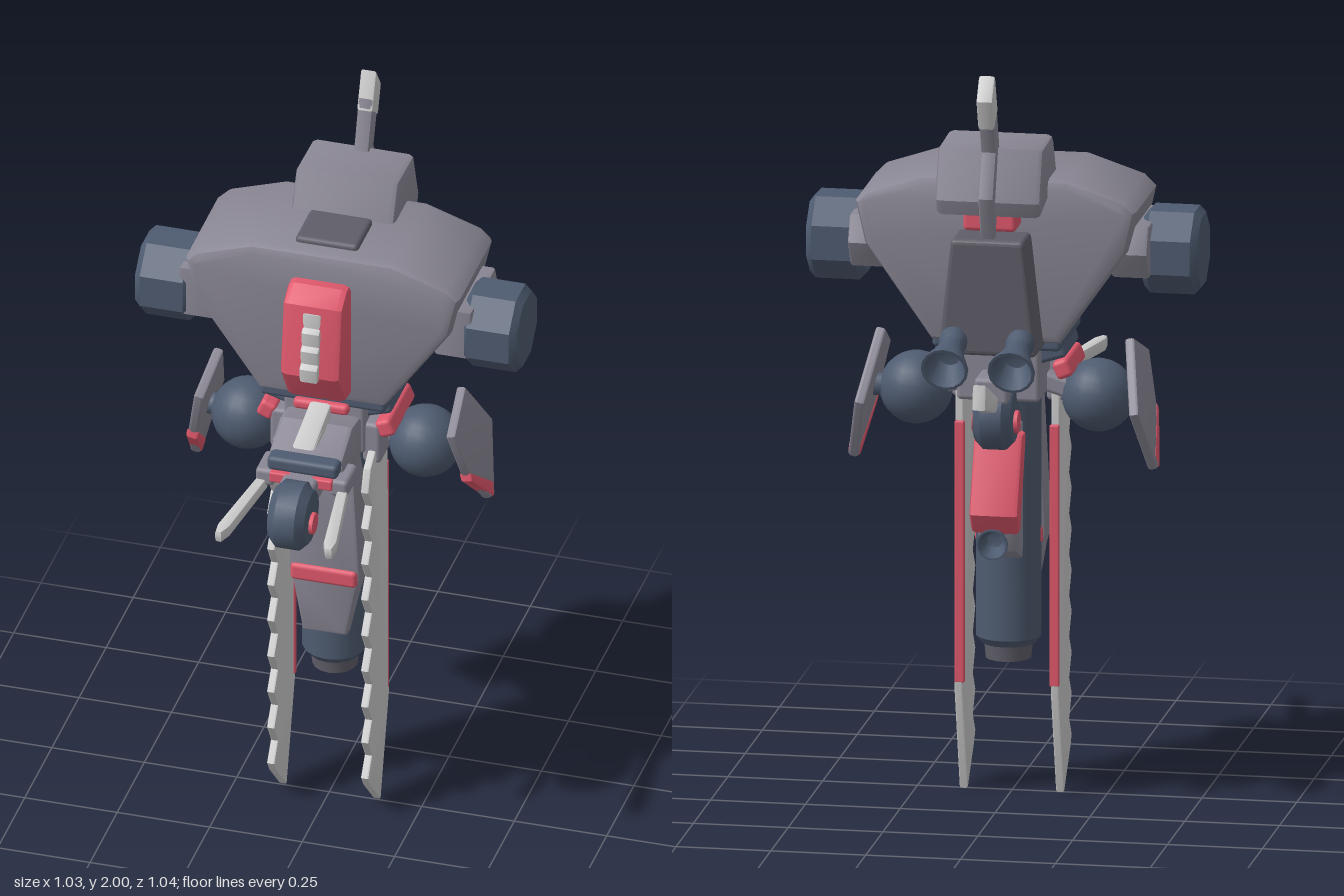
import * as THREE from 'three';
import { RoundedBoxGeometry } from 'three/addons/geometries/RoundedBoxGeometry.js';
import { toCreasedNormals } from 'three/addons/utils/BufferGeometryUtils.js';

const mat = (color) => new THREE.MeshStandardMaterial({ color });
const GREY = mat(0x8a8794), DARK = mat(0x5f5e69), BLUE = mat(0x4e5b70), RED = mat(0xdf586c), PALE = mat(0xd9d9d9);

export function createModel() {
  const root = new THREE.Group();

  const add = (name, geo, material, x = 0, y = 0, z = 0, rx = 0, ry = 0, rz = 0) => {
    const mesh = new THREE.Mesh(geo, material);
    mesh.name = name;
    mesh.position.set(x, y, z);
    mesh.rotation.set(rx, ry, rz);
    root.add(mesh);
    return mesh;
  };

  // Bevelled slab whose outline stays true to the given points, centred on its depth
  const slab = (pts, depth, bevel) => {
    const shape = new THREE.Shape(pts.map(([a, b]) => new THREE.Vector2(a, b)));
    const g = new THREE.ExtrudeGeometry(shape, {
      depth: depth - 2 * bevel, bevelEnabled: true, bevelSize: bevel, bevelThickness: bevel,
      bevelOffset: -bevel, bevelSegments: 2,
    });
    g.translate(0, 0, -(depth - 2 * bevel) / 2);
    return toCreasedNormals(g, 0.6);
  };
  // Outline given as [z, y], thickness along x
  const side = (pts, width, bevel = 0.008) => slab(pts, width, bevel).rotateY(-Math.PI / 2);
  const box = (w, h, d, r = 0.012) => new RoundedBoxGeometry(w, h, d, 2, r);
  const lathe = (pts, n) => toCreasedNormals(
    new THREE.LatheGeometry(pts.map(([r, h]) => new THREE.Vector2(r, h)), n), 0.6);
  // Flared nozzle running along +y, with a hollow mouth
  const nozzle = (r, h) => lathe([[0, 0], [r * 0.6, 0], [r * 0.6, h * 0.2], [r * 0.52, h * 0.3], [r * 0.66, h * 0.6],
    [r, h * 0.95], [r, h], [r * 0.88, h], [r * 0.5, h * 0.55], [0, h * 0.5]], 16);

  // Upper hull
  add('hull', slab([[-0.19, 1.7], [-0.34, 1.65], [-0.37, 1.62], [-0.345, 1.51], [-0.17, 1.26], [0.17, 1.26],
    [0.345, 1.51], [0.37, 1.62], [0.34, 1.65], [0.19, 1.7]], 0.34, 0.025), GREY, 0, 0, -0.09);
  add('roofHatch', box(0.17, 0.03, 0.145), DARK, 0, 1.7, -0.043);
  add('hullBase', box(0.34, 0.06, 0.3), BLUE, 0, 1.265, -0.085);

  // Chest panel with its toothed strip
  add('chestPanel', side([[0.06, 1.625], [0.105, 1.625], [0.155, 1.59], [0.183, 1.39], [0.12, 1.29], [0.06, 1.28]],
    0.165, 0.018), RED);
  add('chestStrip', side([[0.13, 1.57], [0.162, 1.57], [0.164, 1.53], [0.178, 1.52], [0.174, 1.48], [0.188, 1.47],
    [0.182, 1.43], [0.197, 1.42], [0.192, 1.38], [0.15, 1.38]], 0.05, 0.006), PALE);

  // Head block and mast
  add('headBlock', side([[-0.115, 1.69], [-0.165, 1.8], [-0.315, 1.795], [-0.36, 1.66], [-0.345, 1.62], [-0.25, 1.64]],
    0.28, 0.016), GREY);
  add('neckBlock', box(0.14, 0.07, 0.1), RED, 0, 1.61, -0.285);
  add('mast', side([[-0.25, 1.68], [-0.3, 1.82], [-0.335, 1.93], [-0.37, 1.92], [-0.385, 1.9], [-0.345, 1.79],
    [-0.39, 1.675], [-0.35, 1.56], [-0.33, 1.62]], 0.04, 0.006), GREY);
  add('mastTip', side([[-0.325, 1.9], [-0.365, 2], [-0.408, 1.94], [-0.378, 1.86]], 0.043, 0.006), PALE);

  // Back unit with two nozzles
  const pack = box(0.26, 0.31, 0.15, 0.014);
  const pp = pack.attributes.position;
  for (let i = 0; i < pp.count; i++) pp.setX(i, pp.getX(i) * (0.87 - pp.getY(i) * 0.85));
  pack.computeVertexNormals();
  add('backUnit', pack, DARK, 0, 1.405, -0.295);
  for (const s of [-1, 1]) add('backNozzle', nozzle(0.062, 0.16), BLUE, s * 0.088, 1.295, -0.35, -1.9);

  for (const s of [-1, 1]) {
    // Side drums
    add('drumBracket', side([[0.04, 1.43], [0.04, 1.57], [-0.19, 1.57], [-0.22, 1.5], [-0.18, 1.43]], 0.1), GREY, s * 0.345);
    const drum = lathe([[0, -0.075], [0.1, -0.075], [0.118, -0.058], [0.118, 0.058], [0.1, 0.075], [0, 0.075]], 8);
    drum.rotateY(Math.PI / 8);
    add('sideDrum', drum, BLUE, s * 0.441, 1.483, -0.062, 0, 0, Math.PI / 2);

    // Hip links, ball joints and hanging plates
    add('hipLink', box(0.1, 0.055, 0.2), BLUE, s * 0.12, 1.22, -0.08, 0, 0, s * 0.3);
    add('hipBar', box(0.045, 0.05, 0.2), RED, s * 0.16, 1.17, -0.06, 0, 0, s * 0.4);
    add('hipArm', box(0.1, 0.05, 0.07), GREY, s * 0.14, 1.11, -0.07, 0, 0, -s * 0.3);
    add('ballJoint', new THREE.SphereGeometry(0.096, 20, 14), BLUE, s * 0.24, 1.085, -0.07);
    add('plateArm', new THREE.CylinderGeometry(0.03, 0.03, 0.1, 8), BLUE, s * 0.315, 1.09, -0.08, 0, 0, Math.PI / 2);
    const plate = new THREE.Group();
    plate.name = 'sidePlate';
    const body = new THREE.Mesh(side([[-0.1, 0.175], [-0.23, 0], [-0.135, -0.17], [-0.105, -0.165], [0.0, -0.035],
      [0.045, 0.11]], 0.028), GREY);
    const edge = new THREE.Mesh(side([[0.0, -0.025], [0.003, -0.05], [-0.12, -0.17], [-0.14, -0.135]], 0.034), RED);
    body.name = 'plateBody';
    edge.name = 'plateEdge';
    plate.add(body, edge);
    plate.position.set(s * 0.362, 1.075, 0);
    plate.rotation.z = s * 0.2;
    root.add(plate);

    // Long saw-toothed blades
    const teeth = [];
    for (let i = 0; i < 8; i++) teeth.push([0.072, 0.95 - i * 0.11], [0.108, 0.9 - i * 0.11]);
    add('sawBlade', side([[-0.07, 1.12], [0.04, 1.1], [0.085, 1.07], [0.108, 1.01], ...teeth, [0.09, 0.1],
      [-0.005, 0], [-0.083, 0.28]], 0.022, 0.005), PALE, s * 0.127);
    add('bladeSpine', box(0.026, 0.7, 0.016, 0.004), RED, s * 0.125, 0.65, -0.075);
    add('bladeMount', box(0.05, 0.12, 0.1), GREY, s * 0.125, 1.12, -0.01);

    // Forward pincers
    add('pincer', slab([[-0.014, -0.14], [0.014, -0.14], [0.017, 0.1], [0.008, 0.135], [-0.008, 0.135],
      [-0.017, 0.1]], 0.034, 0.006).rotateX(Math.PI / 2), PALE, s * 0.129, 1.083, 0.383, 0.04, s * 0.15);
    add('pincerMount', box(0.05, 0.05, 0.1), GREY, s * 0.1, 1.11, 0.21);
    add('pincerPin', box(0.06, 0.03, 0.02, 0.005), RED, s * 0.055, 1.12, 0.257);
  }

  // Waist and forward arm
  add('waist', box(0.22, 0.16, 0.26), GREY, 0, 1.17, -0.08);
  add('frontBlock', side([[0.03, 1.2], [0.12, 1.215], [0.215, 1.17], [0.22, 1.1], [0.03, 1.09]], 0.2, 0.012), GREY);
  add('frontCap', box(0.19, 0.04, 0.115), BLUE, 0, 1.152, 0.197);
  add('frontArm', box(0.095, 0.07, 0.17), GREY, 0, 1.1, 0.275);
  add('frontSpike', side([[0.08, 1.25], [0.16, 1.232], [0.245, 1.207], [0.2, 1.192], [0.08, 1.2]], 0.06, 0.01), PALE);
  add('lowerSpike', side([[0.07, 1.07], [0.07, 1.035], [0.28, 1.01], [0.325, 1.02]], 0.035, 0.006), PALE);
  add('waistTrim', box(0.15, 0.03, 0.03), RED, 0, 1.235, 0.07);

  // Front and rear wheels
  const wheel = lathe([[0, -0.05], [0.07, -0.05], [0.092, -0.028], [0.092, 0.028], [0.07, 0.05], [0, 0.05]], 16);
  for (const z of [0.335, -0.235]) {
    add('wheel', wheel, BLUE, 0, 1.062, z, 0, 0, Math.PI / 2);
    add('wheelAxle', new THREE.CylinderGeometry(0.03, 0.03, 0.12, 10), RED, 0, 1.045, z, 0, 0, Math.PI / 2);
  }
  add('rearArm', box(0.09, 0.07, 0.14), GREY, 0, 1.14, -0.24);
  add('tailSpike', side([[-0.23, 1.1], [-0.3, 1.125], [-0.475, 1.2], [-0.488, 1.135], [-0.33, 1.09]], 0.036, 0.006), PALE);

  // Central leg
  add('legBarrel', lathe([[0, 0.41], [0.07, 0.41], [0.086, 0.43], [0.086, 1.1], [0, 1.1]], 16), BLUE, 0, 0, -0.052);
  add('legTip', lathe([[0, 0.37], [0.06, 0.37], [0.065, 0.42], [0, 0.42]], 16), DARK, 0, 0, -0.055);
  add('legCover', slab([[-0.075, 1.12], [-0.097, 0.7], [-0.085, 0.66], [-0.06, 0.52], [0.06, 0.52], [0.085, 0.66],
    [0.097, 0.7], [0.075, 1.12]], 0.1, 0.012), GREY, 0, 0, 0.0);
  add('legBand', box(0.18, 0.05, 0.12), RED, 0, 0.7, 0);

  // Rear pod under the hull
  add('podFin', side([[-0.1, 1.03], [-0.19, 1.0], [-0.24, 0.77], [-0.21, 0.69], [-0.12, 0.65], [-0.1, 0.75]], 0.1, 0.01), GREY);
  add('podShell', side([[-0.15, 1.0], [-0.2, 1.0], [-0.278, 0.8], [-0.24, 0.745], [-0.2, 0.84]], 0.13, 0.012), RED);
  add('podNozzle', nozzle(0.042, 0.1), BLUE, 0, 0.735, -0.195, -1.65);
  return root;
}
